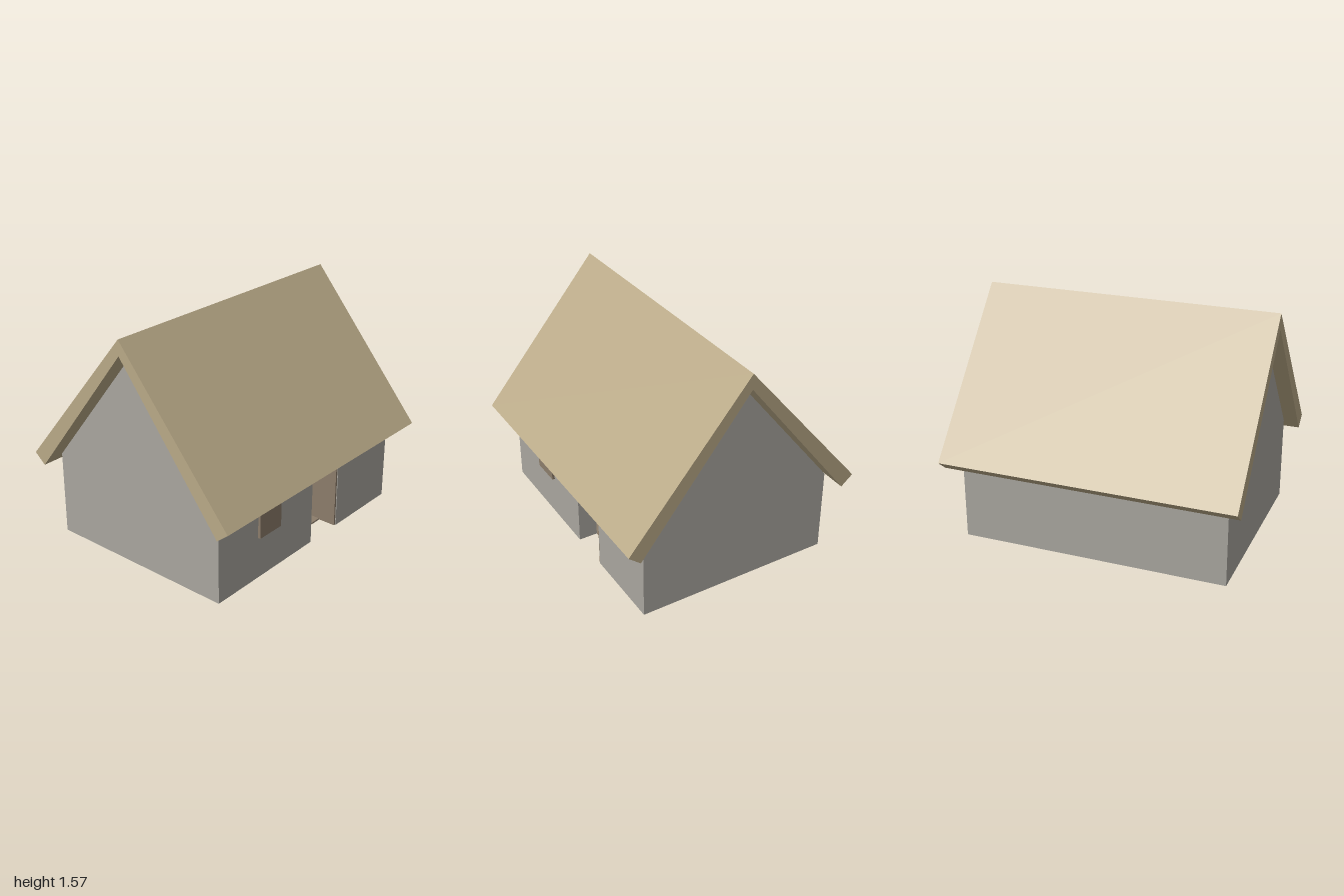
import * as THREE from 'three';

const thatch = new THREE.MeshStandardMaterial({ name: 'thatch', color: 0xb9a987 });
const stone = new THREE.MeshStandardMaterial({ name: 'stone', color: 0xa9a69f });
const wood = new THREE.MeshStandardMaterial({ name: 'wood', color: 0x8c7d6b });

const W = 0.905, D = 0.68, T = 0.13, EAVE = 0.58; // half width, half depth, wall thickness, wall height

// Box given by its lower and upper limits on each axis
function box(name, material, [x0, x1], [y0, y1], [z0, z1]) {
  const mesh = new THREE.Mesh(new THREE.BoxGeometry(x1 - x0, y1 - y0, z1 - z0), material);
  mesh.position.set((x0 + x1) / 2, (y0 + y1) / 2, (z0 + z1) / 2);
  mesh.name = name;
  return mesh;
}

// Outline in (z, y), extruded along x from x0 to x1
function gableExtrusion(name, material, points, x0, x1) {
  const shape = new THREE.Shape(points.map(([z, y]) => new THREE.Vector2(z, y)));
  const geometry = new THREE.ExtrudeGeometry(shape, { depth: x1 - x0, bevelEnabled: false });
  geometry.rotateY(Math.PI / 2);
  const mesh = new THREE.Mesh(geometry, material);
  mesh.position.x = x0;
  mesh.name = name;
  return mesh;
}

export function createModel() {
  const house = new THREE.Group();
  house.name = 'cottage';
  const inX = W - T, inZ = D - T;
  const door = [0.035, 0.325];

  // Gable end walls
  const gable = [[-D, 0], [D, 0], [D, EAVE], [0, 1.435], [-D, EAVE]];
  house.add(gableExtrusion('leftGableWall', stone, gable, inX, W));
  house.add(gableExtrusion('rightGableWall', stone, gable, -W, -inX));

  // Long walls, the front one split by the doorway
  house.add(box('backWall', stone, [-inX, inX], [0, EAVE], [-D, -inZ]));
  house.add(box('frontWallRight', stone, [-inX, door[0]], [0, EAVE], [inZ, D]));
  house.add(box('frontWallLeft', stone, [door[1], inX], [0, EAVE], [inZ, D]));

  // Floor, lintel, door standing open and shutter
  house.add(box('floor', wood, [-inX, inX], [0, 0.01], [-inZ, inZ]));
  house.add(box('lintel', wood, door, [0.55, 0.585], [inZ, 0.69]));
  house.add(box('openDoor', wood, [0.311, 0.325], [0.002, 0.55], [0.39, 0.675]));
  house.add(box('windowShutter', wood, [-0.53, -0.32], [0.29, 0.457], [D, 0.698]));

  // Thick pitched roof
  const roof = [[0, 1.57], [-0.832, 0.578], [-0.75, 0.51], [0, 1.465], [0.75, 0.51], [0.832, 0.578]];
  house.add(gableExtrusion('roof', thatch, roof, -1, 1));
  return house;
}
